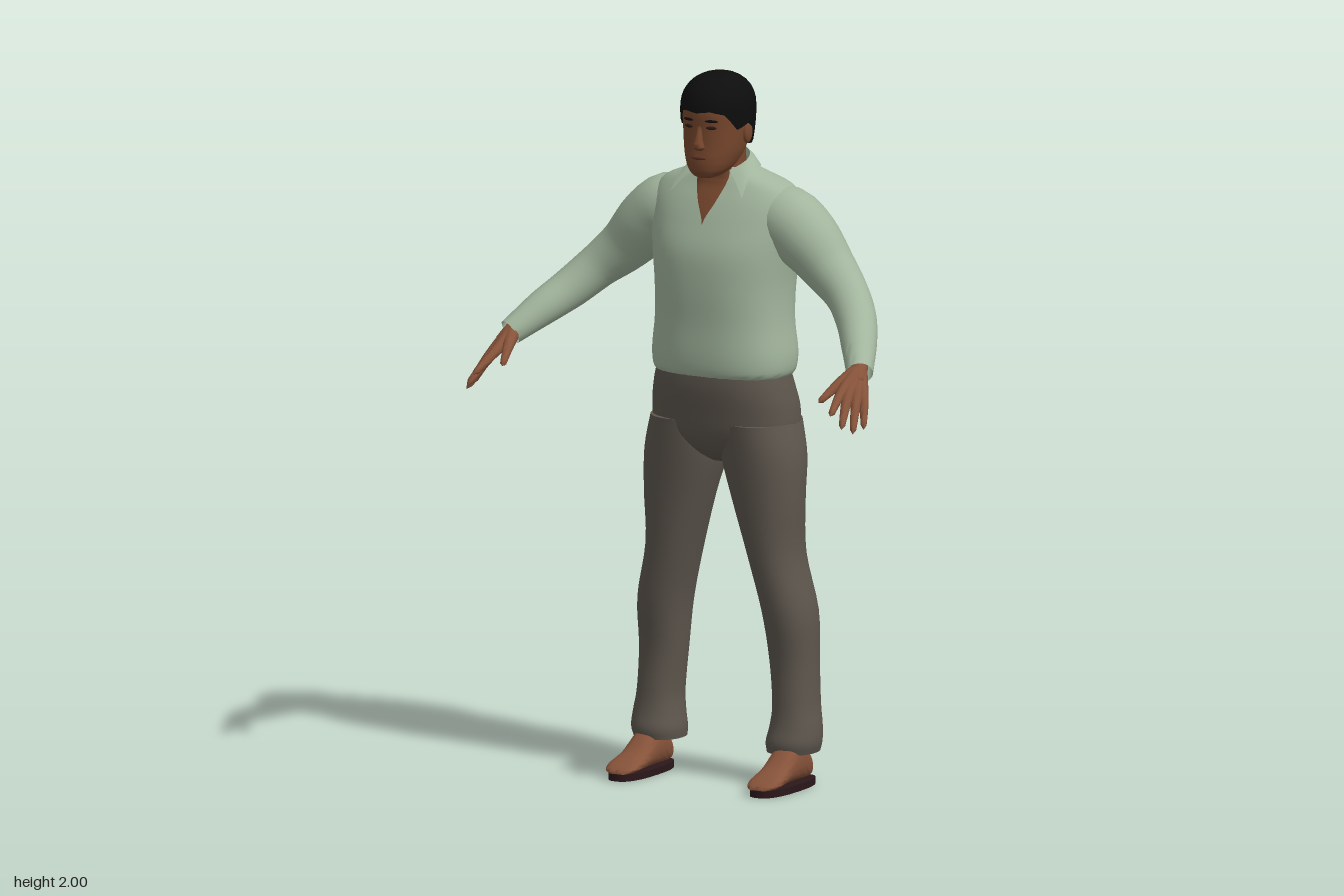
import * as THREE from 'three';
import { mergeVertices, mergeGeometries, toCreasedNormals } from 'three/addons/utils/BufferGeometryUtils.js';

const mat = (name, color) => {
  const m = new THREE.MeshStandardMaterial({ color, side: THREE.DoubleSide });
  m.name = name;
  return m;
};

// Catmull-Rom between two rows of numbers
const spline = (a, b, c, d, t) => b.map((p, k) =>
  p + 0.5 * t * (c[k] - a[k] + t * (2 * a[k] - 5 * p + 4 * c[k] - d[k] + t * (3 * (p - c[k]) + d[k] - a[k]))));

function refine(rows, steps) {
  const at = (i) => rows[Math.max(0, Math.min(rows.length - 1, i))], out = [];
  for (let i = 0; i < rows.length - 1; i++)
    for (let s = 0; s < steps; s++) out.push(spline(at(i - 1), at(i), at(i + 1), at(i + 2), s / steps));
  out.push(rows[rows.length - 1]);
  return out;
}

// Smooth surface over a grid: fn(column 0..1, row index) gives a point
function grid(cols, rows, fn) {
  const pos = [], idx = [];
  for (let i = 0; i < rows; i++)
    for (let j = 0; j <= cols; j++) pos.push(...fn(j / cols, i));
  for (let i = 0; i < rows - 1; i++)
    for (let j = 0; j < cols; j++) {
      const a = i * (cols + 1) + j, b = a + cols + 1;
      idx.push(a, a + 1, b + 1, a, b + 1, b);
    }
  const g = new THREE.BufferGeometry();
  g.setAttribute('position', new THREE.Float32BufferAttribute(pos, 3));
  g.setIndex(idx);
  return toCreasedNormals(mergeVertices(g, 1e-5), 1.1);
}

const pw = (v, e) => Math.sign(v) * Math.pow(Math.abs(v), e);

// Stacked oval sections. Row: [y, centre x, half width, front z, back z, front opening]
function loft(rows, { n = 2.4, cols = 32, steps = 4, cap = true } = {}) {
  let r = refine(rows, steps);
  const flat = (q) => [q[0], q[1], 0, (q[3] + q[4]) / 2, (q[3] + q[4]) / 2, 0];
  if (cap) r = [flat(r[0]), ...r, flat(r[r.length - 1])];
  return grid(cols, r.length, (u, i) => {
    const [y, cx, rx, zf, zb, w = 0] = r[i];
    const gap = w > 0 ? Math.asin(Math.min(1, Math.pow(w / rx, n / 2))) : 0;
    const a = gap + u * 2 * (Math.PI - gap);
    return [cx + rx * pw(Math.sin(a), 2 / n), y, (zf + zb) / 2 + (zf - zb) / 2 * pw(Math.cos(a), 2 / n)];
  });
}

// Tube of varying radius. Point: [x, y, z, radius]
function limb(points, s, { n = 20, cols = 16, cap = true } = {}) {
  const curve = new THREE.CatmullRomCurve3(points.map((p) => new THREE.Vector3(p[0] * s, p[1], p[2])));
  const g = new THREE.TubeGeometry(curve, n, 1, cols), P = g.attributes.position, v = new THREE.Vector3();
  for (let i = 0; i <= n; i++) {
    const c = curve.getPointAt(i / n), f = curve.getUtoTmapping(i / n) * (points.length - 1);
    const k = Math.min(points.length - 2, Math.floor(f));
    let r = THREE.MathUtils.lerp(points[k][3], points[k + 1][3], f - k);
    if (cap && (i === 0 || i === n)) r *= 0.02;
    for (let j = 0; j <= cols; j++) {
      const q = i * (cols + 1) + j;
      v.fromBufferAttribute(P, q).sub(c).multiplyScalar(r).add(c);
      P.setXYZ(q, v.x, v.y, v.z);
    }
  }
  g.deleteAttribute('uv');
  g.deleteAttribute('normal');
  return toCreasedNormals(mergeVertices(g, 1e-5), 1.1);
}

export function createModel() {
  const model = new THREE.Group();
  model.name = 'standingMan';
  const shirt = mat('sage cloth', 0xa2b59d), cloth = mat('grey brown cloth', 0x5d564d);
  const face = mat('face skin', 0x77472d), skin = mat('hand and foot skin', 0x87533a);
  const black = mat('black hair', 0x0d0d0d), soleMat = mat('dark sole', 0x2b171a);
  const lip = mat('lips', 0x633526), eyeMat = mat('eyes', 0x2a1a14);
  const add = (name, geo, m) => {
    const mesh = new THREE.Mesh(geo, m);
    mesh.name = name;
    model.add(mesh);
    return mesh;
  };

  // Shirt body, open in a V at the throat
  add('shirtBody', loft([
    [1.145, 0, 0.185, 0.015, -0.23, 0], [1.16, 0, 0.203, 0.033, -0.253, 0], [1.21, 0, 0.208, 0.04, -0.265, 0],
    [1.30, 0, 0.198, 0.04, -0.262, 0], [1.40, 0, 0.198, 0.044, -0.272, 0], [1.50, 0, 0.21, 0.04, -0.283, 0],
    [1.58, 0, 0.222, 0.015, -0.276, 0], [1.64, 0, 0.222, -0.01, -0.255, 0.027], [1.685, 0, 0.19, -0.033, -0.225, 0.045],
    [1.715, 0, 0.12, -0.045, -0.195, 0.052], [1.735, 0, 0.078, -0.05, -0.172, 0.052]], { cols: 48, cap: false }), shirt);

  // Collar folded down into two points
  add('collar', grid(40, 4, (u, i) => {
    const a = 0.72 + u * 2 * (Math.PI - 0.72), c = Math.cos(a), s = Math.sin(a);
    const f = Math.pow(Math.max(0, c) / 0.752, 3);
    const top = [0.074 * s, 1.752 - 0.025 * c - 0.005 * f, -0.105 + 0.068 * c];
    const low = [(0.105 + 0.068 * f) * s, 1.73 - 0.068 * f, -0.11 + 0.088 * c + 0.034 * f];
    if (i === 0) return low;
    if (i === 1) return top.map((t, k) => (t * 0.55 + low[k] * 0.45) + (k === 1 ? 0.006 : 0));
    return i === 2 ? top : [top[0] * 0.92, top[1] - 0.03, top[2] + 0.004 * -c];
  }), shirt);

  // Throat and neck
  add('neck', loft([
    [1.54, 0, 0.09, 0.018, -0.15], [1.60, 0, 0.09, -0.001, -0.15], [1.65, 0, 0.085, -0.024, -0.16],
    [1.69, 0, 0.07, -0.043, -0.165], [1.73, 0, 0.06, -0.043, -0.16], [1.82, 0, 0.06, -0.02, -0.16]], { n: 2.8 }), face);

  // Head, nose and ears
  add('head', loft([
    [1.712, 0, 0.02, 0.012, -0.03], [1.72, 0, 0.04, 0.025, -0.06], [1.74, 0, 0.06, 0.032, -0.1],
    [1.77, 0, 0.074, 0.033, -0.135], [1.80, 0, 0.082, 0.03, -0.152], [1.85, 0, 0.088, 0.028, -0.165],
    [1.90, 0, 0.09, 0.03, -0.175], [1.94, 0, 0.08, 0.015, -0.165], [1.97, 0, 0.05, -0.02, -0.13]], { n: 2.3 }), face);
  add('nose', loft([
    [1.793, 0, 0.012, 0.036, 0.005], [1.803, 0, 0.018, 0.049, 0.005], [1.82, 0, 0.012, 0.046, 0.005],
    [1.86, 0, 0.008, 0.031, 0.005]], { cols: 16, n: 2 }), face);
  const plate = (name, m, x, y, z, w, h, d, turn) => {
    const p = add(name, new THREE.SphereGeometry(1, 16, 10).scale(w, h, d), m);
    p.position.set(x, y, z);
    p.rotation.y = turn;
  };
  plate('mouth', lip, 0, 1.772, 0.0325, 0.024, 0.006, 0.004, 0);
  for (const s of [1, -1]) {
    plate('ear', face, s * 0.088, 1.835, -0.085, 0.011, 0.032, 0.02, 0);
    plate('eye', eyeMat, s * 0.036, 1.858, 0.0235, 0.015, 0.005, 0.004, s * 0.3);
    plate('eyebrow', black, s * 0.037, 1.877, 0.0245, 0.019, 0.004, 0.004, s * 0.3);
  }

  // Hair cap: the lower edge drops from fringe to sideburn to nape
  const edge = [1.90, 1.905, 1.895, 1.85, 1.865, 1.83, 1.79, 1.782, 1.78];
  add('hair', grid(48, 14, (u, i) => {
    const a = u * Math.PI * 2, f = (1 - Math.abs(1 - 2 * u)) * 8, k = Math.min(7, Math.floor(f));
    const yb = THREE.MathUtils.lerp(edge[k], edge[k + 1], f - k);
    const y = yb + (2 - yb) * Math.sin(Math.max(0, i - 1) / 12 * Math.PI / 2);
    let r = y > 1.9 ? Math.pow(Math.max(0, 1 - Math.pow((y - 1.9) / 0.1, 2.3)), 1 / 2.1)
      : 1 - 0.13 * Math.pow((1.9 - y) / 0.12, 2);
    if (i === 0) r *= 0.85;
    return [0.1 * r * Math.sin(a), y, -0.075 + 0.12 * r * Math.cos(a)];
  }), black);

  // Trouser seat
  add('trouserSeat', loft([
    [0.90, 0, 0.03, -0.07, -0.15], [0.93, 0, 0.10, -0.025, -0.205], [0.98, 0, 0.205, 0.006, -0.248],
    [1.05, 0, 0.215, 0.02, -0.26], [1.12, 0, 0.203, 0.03, -0.248], [1.18, 0, 0.187, 0.028, -0.235]]), cloth);

  for (const s of [1, -1]) {
    // Trouser leg with a loose hem
    add('trouserLeg', loft([
      [0.095, 0.214, 0.07, -0.045, -0.2], [0.125, 0.217, 0.075, -0.04, -0.202], [0.17, 0.22, 0.07, -0.052, -0.202],
      [0.23, 0.218, 0.063, -0.06, -0.205], [0.35, 0.21, 0.066, -0.062, -0.208], [0.49, 0.2, 0.073, -0.04, -0.215],
      [0.65, 0.163, 0.076, -0.025, -0.208], [0.80, 0.142, 0.1, -0.012, -0.208], [0.92, 0.124, 0.116, 0, -0.232],
      [1.02, 0.11, 0.106, 0.01, -0.25]].map(([y, x, ...r]) => [y, x * s, ...r]), { n: 2.2 }), cloth);

    // Foot, lofted from heel to toe, and its sole
    add('foot', loft([
      [-0.168, 0.225, 0.02, -0.02, -0.06], [-0.15, 0.225, 0.035, -0.018, -0.09], [-0.10, 0.225, 0.042, -0.018, -0.14],
      [-0.05, 0.225, 0.042, -0.018, -0.115], [0, 0.226, 0.045, -0.018, -0.075], [0.05, 0.228, 0.049, -0.018, -0.052],
      [0.08, 0.228, 0.042, -0.018, -0.038], [0.096, 0.226, 0.025, -0.018, -0.027]]
      .map(([z, x, ...r]) => [z, x * s, ...r])).rotateX(Math.PI / 2), skin);
    add('sole', loft([[0, 0.228 * s, 0.052, 0.1, -0.18], [0.02, 0.228 * s, 0.052, 0.1, -0.18]],
      { n: 2.6, steps: 1 }), soleMat);

    // Sleeve from shoulder to cuff
    add('sleeve', limb([
      [0.10, 1.59, -0.13, 0.08], [0.19, 1.588, -0.13, 0.097], [0.26, 1.535, -0.13, 0.092], [0.33, 1.465, -0.125, 0.075],
      [0.40, 1.405, -0.10, 0.062], [0.46, 1.345, -0.05, 0.057], [0.51, 1.295, 0.02, 0.05], [0.563, 1.235, 0.105, 0.037]],
      s, { n: 32, cols: 24, cap: false }), shirt);

    // Hand: wrist, four fingers running back through the palm, and thumb
    const wrist = [0.557, 1.242, 0.098, 0.024];
    const fingers = [
      [[0.558, 1.197, 0.192, 0.015], [0.575, 1.145, 0.285, 0.008]],
      [[0.576, 1.182, 0.192, 0.016], [0.603, 1.108, 0.272, 0.008]],
      [[0.594, 1.168, 0.178, 0.015], [0.622, 1.092, 0.242, 0.008]],
      [[0.606, 1.163, 0.156, 0.014], [0.63, 1.098, 0.196, 0.007]],
      [[0.533, 1.212, 0.165, 0.016], [0.509, 1.168, 0.238, 0.008]]];
    add('hand', mergeGeometries([
      limb([[0.53, 1.275, 0.05, 0.025], wrist, [0.572, 1.205, 0.14, 0.024]], s, { n: 10, cols: 12 }),
      ...fingers.map(([knuckle, tip]) => limb([wrist, knuckle, tip], s, { n: 14, cols: 10 }))]), skin);
  }
  return model;
}
